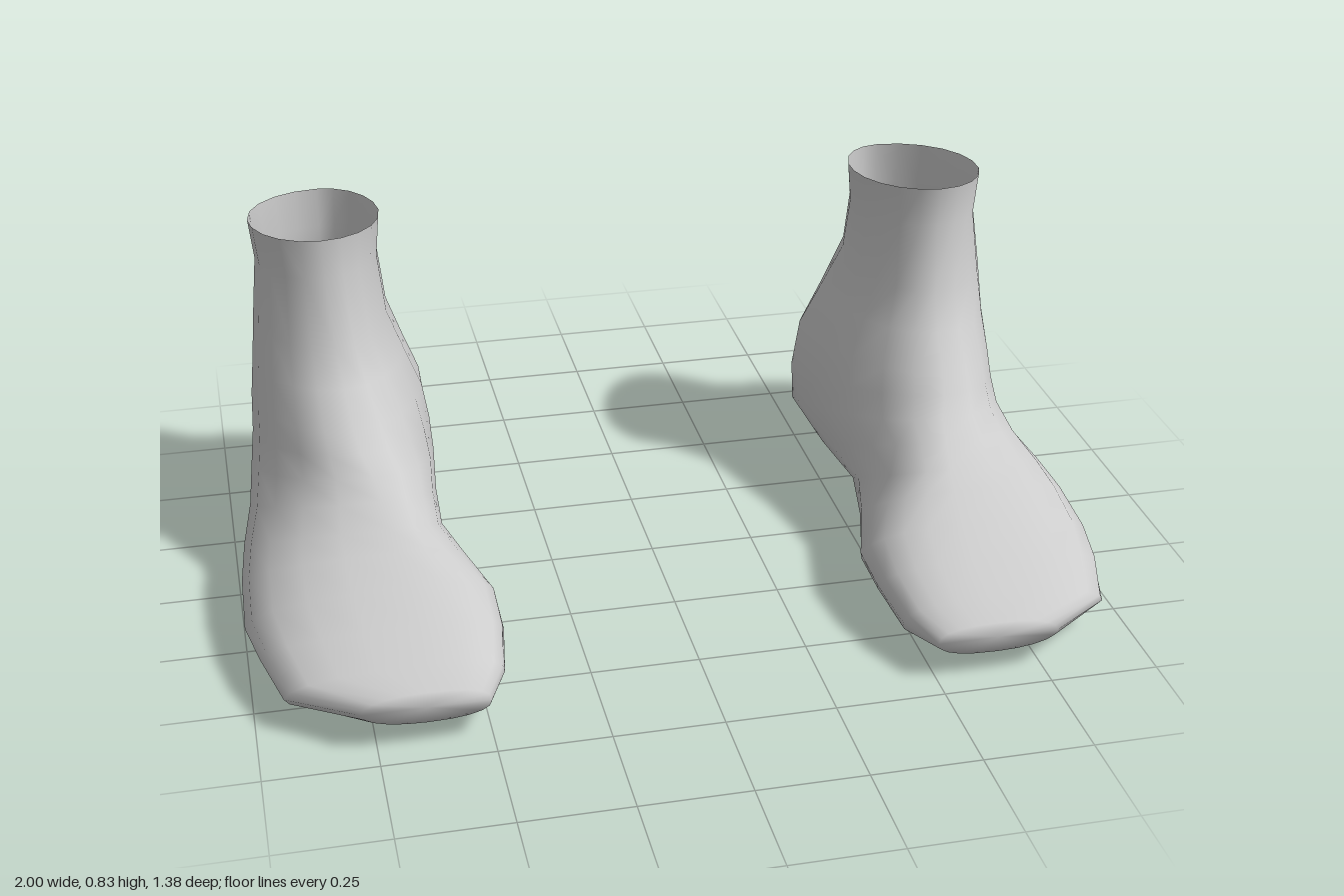
import * as THREE from 'three';

const skin = new THREE.MeshStandardMaterial({ color: 0xcccccc, side: THREE.DoubleSide });
skin.name = 'light grey';

// Rings fan round from the level ankle opening to the upright toe end.
// front z, front y, back z, back y, inner x, outer x, ridge x, sole x,
// widest fraction on the inner and on the outer side
const RINGS = [
  [-0.14, 0.835, -0.575, 0.79, 0.59, 0.90, 0.745, 0.72, 0.50, 0.50],
  [-0.14, 0.74, -0.575, 0.69, 0.60, 0.89, 0.74, 0.72, 0.50, 0.50],
  [-0.10, 0.58, -0.575, 0.58, 0.585, 0.905, 0.73, 0.72, 0.55, 0.50],
  [-0.04, 0.50, -0.63, 0.43, 0.545, 0.915, 0.72, 0.72, 0.63, 0.52],
  [0.04, 0.43, -0.68, 0.30, 0.505, 0.925, 0.71, 0.72, 0.68, 0.55],
  [0.09, 0.395, -0.685, 0.16, 0.49, 0.93, 0.70, 0.72, 0.72, 0.57],
  [0.14, 0.36, -0.69, 0.045, 0.49, 0.94, 0.68, 0.72, 0.70, 0.58],
  [0.20, 0.33, -0.45, 0.015, 0.51, 0.955, 0.67, 0.73, 0.64, 0.64],
  [0.27, 0.295, -0.20, 0.03, 0.52, 0.98, 0.66, 0.79, 0.56, 0.68],
  [0.33, 0.27, 0.00, 0.03, 0.485, 0.995, 0.65, 0.84, 0.55, 0.70],
  [0.42, 0.235, 0.20, 0.005, 0.435, 1.00, 0.64, 0.84, 0.51, 0.67],
  [0.52, 0.195, 0.36, 0.025, 0.435, 0.975, 0.63, 0.75, 0.50, 0.60],
  [0.62, 0.16, 0.53, 0.012, 0.455, 0.935, 0.63, 0.68, 0.48, 0.53],
  [0.69, 0.135, 0.69, 0.06, 0.50, 0.78, 0.64, 0.64, 0.50, 0.50],
];
const SIDES = 20;
const ramp = (i, from, to) => THREE.MathUtils.clamp((i - from) / (to - from), 0, 1);

function footGeometry(side) {
  const pos = [], index = [];
  const tri = (a, b, c) => (side > 0 ? index.push(a, b, c) : index.push(a, c, b));

  RINGS.forEach(([fz, fy, bz, by, inner, outer, ridge, sole, mInner, mOuter], i) => {
    // Powers below 1 fill out the instep, the inner heel and the sole
    const foot = ramp(i, 5, 8);
    const topInner = 1 - 0.2 * foot;
    const topOuter = 1 - 0.08 * foot;
    const soleInner = 1 - 0.12 * ramp(i, 2, 4) - 0.05 * foot;
    const soleOuter = 1 - 0.05 * foot;
    for (let j = 0; j < SIDES; j++) {
      const t = (j / SIDES) * Math.PI * 2;
      const c = Math.cos(t), s = Math.sin(t);
      const front = c > 0, out = s > 0;
      const m = out ? mOuter : mInner;
      const p = front ? (out ? topOuter : topInner) : out ? soleOuter : soleInner;
      const wide = Math.abs(s) < 1e-6 ? 0 : Math.abs(s) ** p;
      const along = front ? m * (1 - c ** p) : m + (1 - m) * Math.abs(c) ** p;
      const mid = front ? ridge : sole;
      const x = mid + ((out ? outer : inner) - mid) * wide;
      pos.push(side * x, fy + (by - fy) * along, fz + (bz - fz) * along);
    }
  });

  // Skin between neighbouring rings
  for (let i = 0; i < RINGS.length - 1; i++) {
    for (let j = 0; j < SIDES; j++) {
      const k = (j + 1) % SIDES;
      const a = i * SIDES + j, b = i * SIDES + k;
      tri(a, a + SIDES, b);
      tri(b, a + SIDES, b + SIDES);
    }
  }

  // Flat toe end
  const last = (RINGS.length - 1) * SIDES;
  const tip = pos.length / 3;
  pos.push(side * 0.64, 0.0975, 0.69);
  for (let j = 0; j < SIDES; j++) tri(tip, last + ((j + 1) % SIDES), last + j);

  const g = new THREE.BufferGeometry();
  g.setAttribute('position', new THREE.Float32BufferAttribute(pos, 3));
  g.setIndex(index);
  g.computeVertexNormals();
  return g;
}

export function createModel() {
  const group = new THREE.Group();
  group.name = 'pairOfFeet';
  for (const [name, side] of [['leftFoot', 1], ['rightFoot', -1]]) {
    const foot = new THREE.Mesh(footGeometry(side), skin);
    foot.name = name;
    group.add(foot);
  }
  return group;
}
